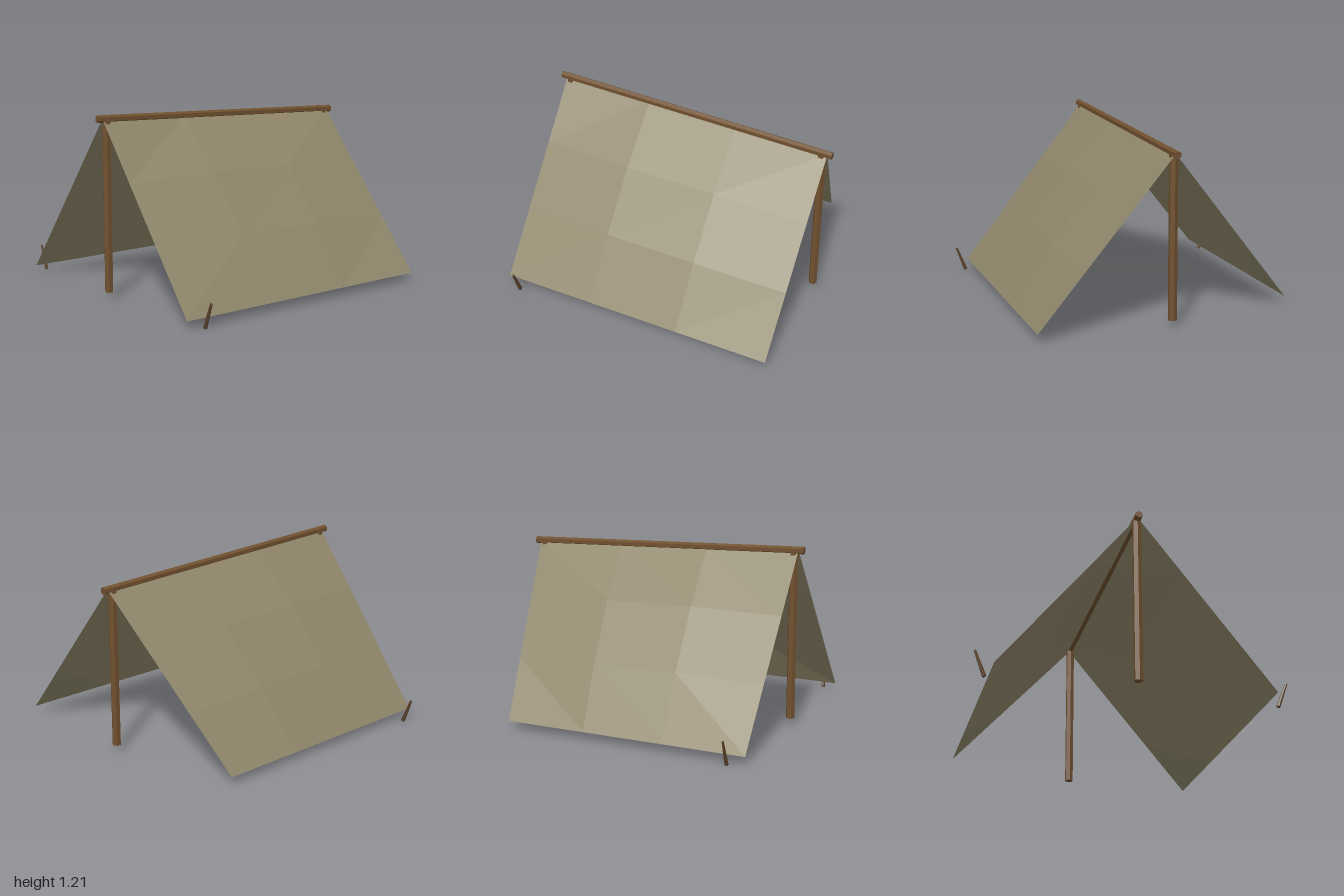
import * as THREE from 'three';

const RIDGE_FRONT = 1.186, RIDGE_BACK = 1.115;
const ridgeY = z => THREE.MathUtils.lerp(RIDGE_BACK, RIDGE_FRONT, (z + 1) / 2);

// Six-sided pole between two points
function pole(name, from, to, rBottom, rTop, material) {
  const a = new THREE.Vector3(...from), b = new THREE.Vector3(...to);
  const dir = b.clone().sub(a);
  const mesh = new THREE.Mesh(new THREE.CylinderGeometry(rTop, rBottom, dir.length(), 6), material);
  mesh.position.copy(a).add(b).multiplyScalar(0.5);
  mesh.quaternion.setFromUnitVectors(new THREE.Vector3(0, 1, 0), dir.normalize());
  mesh.name = name;
  return mesh;
}

// One slope of the sheet: a 3 x 3 patch, puffed out at its inner points
function canvasSide(name, side, backZ, material) {
  const n = 3, geo = new THREE.PlaneGeometry(1, 1, n, n), pos = geo.attributes.position;
  for (let j = 0; j <= n; j++) {
    for (let i = 0; i <= n; i++) {
      const u = i / n, v = j / n; // u: front to back, v: ridge to hem
      const topZ = THREE.MathUtils.lerp(0.96, -0.965, u);
      const hemZ = THREE.MathUtils.lerp(0.96, backZ, u);
      const inner = i > 0 && i < n && j > 0 && j < n;
      const puff = inner ? 0.042 : 0;
      pos.setXYZ(j * (n + 1) + i,
        side * (0.89 * v + puff * 0.78),
        THREE.MathUtils.lerp(ridgeY(topZ), 0.06, v) + puff * 0.62,
        THREE.MathUtils.lerp(topZ, hemZ, v));
    }
  }
  // Keep the outer face turned outward on the mirrored slope
  if (side < 0) {
    const idx = geo.index;
    for (let k = 0; k < idx.count; k += 3) {
      const t = idx.getX(k);
      idx.setX(k, idx.getX(k + 1));
      idx.setX(k + 1, t);
    }
  }
  geo.computeVertexNormals();
  const mesh = new THREE.Mesh(geo, material);
  mesh.name = name;
  return mesh;
}

export function createModel() {
  const canvas = new THREE.MeshStandardMaterial({ color: 0x8f866a, side: THREE.DoubleSide, flatShading: true });
  canvas.name = 'canvas';
  const wood = new THREE.MeshStandardMaterial({ color: 0x70502f, flatShading: true });
  wood.name = 'wood';
  const pegWood = new THREE.MeshStandardMaterial({ color: 0x5c432c, flatShading: true });
  pegWood.name = 'pegWood';

  const tent = new THREE.Group();
  tent.name = 'tent';

  // Sheet; the right hem is cut short at the back
  tent.add(canvasSide('leftCanvas', 1, -0.965, canvas));
  tent.add(canvasSide('rightCanvas', -1, -0.715, canvas));

  // Ridge pole and its two posts
  tent.add(pole('ridgePole', [0, RIDGE_BACK, -0.999], [0, RIDGE_FRONT, 0.999], 0.025, 0.025, wood));
  for (const [name, z] of [['frontPost', 0.93], ['backPost', -0.927]])
    tent.add(pole(name, [0, 0.05, z], [0, ridgeY(z), z], 0.029, 0.029, wood));

  // Pegs leaning outward
  for (const [name, s] of [['leftPeg', 1], ['rightPeg', -1]])
    tent.add(pole(name, [s * 0.929, 0.01, 0.855], [s * 0.992, 0.174, 0.855], 0.014, 0.008, pegWood));

  return tent;
}
